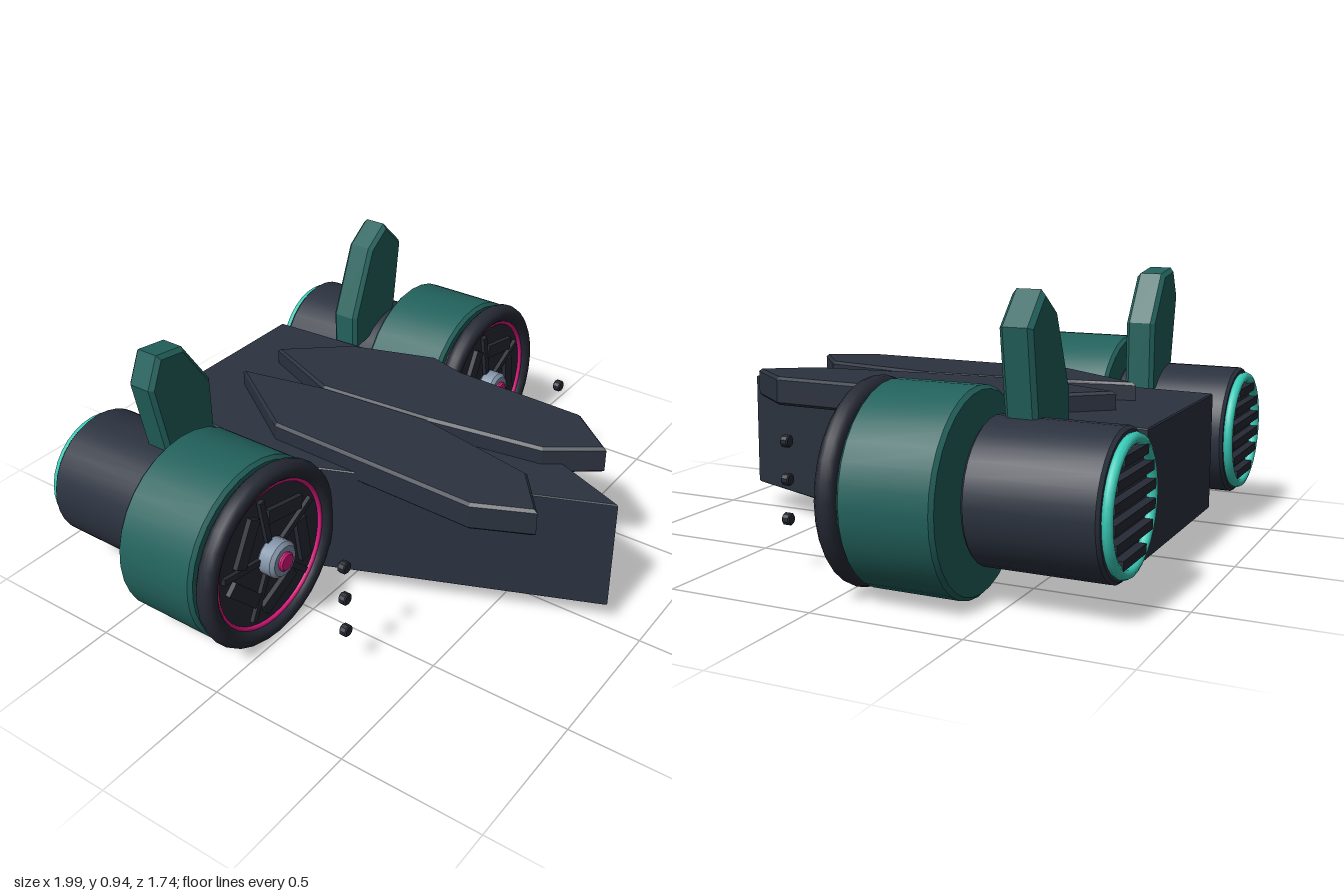
import * as THREE from 'three';
import { toCreasedNormals } from 'three/addons/utils/BufferGeometryUtils.js';

const material = (name, color) => {
  const m = new THREE.MeshStandardMaterial({ color });
  m.name = name;
  return m;
};

export function createModel() {
  const slate = material('slate hull', 0x2b323f);
  const charcoal = material('charcoal rubber', 0x262a35);
  const teal = material('teal shell', 0x22615c);
  const pink = material('pink glow', 0xd9187c);
  const steel = material('steel hub', 0x8394a8);
  const turquoise = material('turquoise glow', 0x38cbb7);

  const model = new THREE.Group();
  model.name = 'hovercraft';

  const add = (parent, name, geometry, mat, x = 0, y = 0, z = 0) => {
    const mesh = new THREE.Mesh(geometry, mat);
    mesh.name = name;
    mesh.position.set(x, y, z);
    parent.add(mesh);
    return mesh;
  };

  // Extrudes an outline with a small bevel that stays inside the outline
  const prism = (points, depth, bevel) => {
    const shape = new THREE.Shape(points.map(([x, y]) => new THREE.Vector2(x, y)));
    return new THREE.ExtrudeGeometry(shape, {
      depth: depth - 2 * bevel, bevelEnabled: true, bevelSegments: 1,
      bevelSize: bevel, bevelThickness: bevel, bevelOffset: -bevel,
    }).translate(0, 0, bevel);
  };

  // Same, with the outline given as x, z and the thickness going up
  const slab = (points, depth, bevel) =>
    prism(points.map(([x, z]) => [x, -z]), depth, bevel).rotateX(-Math.PI / 2);

  // Bevelled drum along z
  const drum = (r, z0, z1, bevel, sides = 32) => {
    const profile = [[0, z0], [r - bevel, z0], [r, z0 + bevel], [r, z1 - bevel], [r - bevel, z1], [0, z1]];
    const lathe = new THREE.LatheGeometry(profile.map(([x, y]) => new THREE.Vector2(x, y)), sides);
    return toCreasedNormals(lathe.rotateX(Math.PI / 2), 0.5);
  };

  // Wedge hull
  add(model, 'hull', slab([[-0.36, -0.81], [-0.405, -0.1], [0, 0.87], [0.405, -0.1], [0.36, -0.81]],
    0.415, 0.004), slate, 0, 0.098, 0);

  // Two long armour plates lying on the deck
  add(model, 'rightDeckPlate', slab([[-0.1, -0.615], [-0.325, -0.28], [-0.345, 0.52], [-0.255, 0.715],
    [-0.085, 0.58], [0.004, 0.13], [-0.03, -0.3]], 0.1, 0.01), slate, 0, 0.475, 0);
  add(model, 'leftDeckPlate', slab([[0.1, -0.615], [-0.03, -0.3], [0.004, 0.13], [0.065, 0.55], [0.19, 0.725],
    [0.335, 0.55], [0.35, 0.05], [0.388, -0.09], [0.285, -0.4]], 0.1, 0.01), slate, 0, 0.475, 0);

  // Each fin leans its own way
  const finOutlines = {
    right: [[-0.425, 0.48], [-0.425, 0.74], [-0.54, 0.912], [-0.655, 0.928], [-0.705, 0.82], [-0.65, 0.53]],
    left: [[0.385, 0.48], [0.385, 0.62], [0.495, 0.875], [0.595, 0.943], [0.697, 0.84], [0.645, 0.53]],
  };

  for (const [side, sign] of [['left', 1], ['right', -1]]) {
    const pod = new THREE.Group();
    pod.name = side + 'EnginePod';
    model.add(pod);

    const fan = new THREE.Group();
    fan.name = side + 'Fan';
    fan.position.set(sign * 0.667, 0.337, 0);
    pod.add(fan);

    // Housing, front rim and fan face
    add(fan, 'housing', drum(0.324, -0.4, -0.085, 0.012), teal);
    add(fan, 'frontRim', new THREE.TorusGeometry(0.296, 0.034, 12, 32), charcoal, 0, 0, -0.04);
    add(fan, 'fanFace', drum(0.29, -0.1, -0.035, 0.002), charcoal);
    add(fan, 'glowRing', new THREE.TorusGeometry(0.262, 0.009, 8, 40), pink, 0, 0, -0.032);

    // Slanted blades and thin spokes
    for (let i = 0; i < 5; i++) {
      const a = 3.61 + i * Math.PI * 2 / 5;
      const blade = add(fan, 'blade', new THREE.BoxGeometry(0.17, 0.05, 0.025), charcoal,
        Math.cos(a) * 0.16, Math.sin(a) * 0.16, -0.03);
      blade.rotation.z = a + 1.85;
      const b = a + Math.PI / 5;
      const spoke = add(fan, 'spoke', new THREE.BoxGeometry(0.19, 0.022, 0.02), charcoal,
        Math.cos(b) * 0.14, Math.sin(b) * 0.14, -0.03);
      spoke.rotation.z = b;
    }
    add(fan, 'hub', drum(0.066, -0.04, 0.03, 0.012, 16), steel);
    add(fan, 'hubCap', drum(0.034, 0.02, 0.042, 0.006, 16), pink);

    // Small studs hovering ahead of the fan
    for (const y of [0.435, 0.31, 0.18]) {
      add(pod, 'stud', drum(0.021, 0.267, 0.295, 0.004, 10), charcoal, sign * 0.68, y, 0);
    }

    // Rear thruster with a lit ring and a slatted grille
    const thruster = new THREE.Group();
    thruster.name = side + 'Thruster';
    thruster.position.set(sign * 0.628, 0.34, 0);
    pod.add(thruster);
    add(thruster, 'coupling', drum(0.17, -0.43, -0.39, 0.002), charcoal);
    add(thruster, 'nacelle', drum(0.23, -0.838, -0.418, 0.01), slate);
    add(thruster, 'exhaustRing', new THREE.TorusGeometry(0.196, 0.018, 8, 32), turquoise, 0, 0, -0.85);
    for (let i = -2.5; i <= 2.5; i++) {
      const y = i * 0.06;
      const width = 2 * Math.sqrt(0.182 ** 2 - y * y);
      add(thruster, 'grilleSlat', new THREE.BoxGeometry(width, 0.03, 0.035), charcoal, 0, y, -0.85);
    }

    // Upright fin
    add(pod, 'fin', prism(finOutlines[side], 0.106, 0.014), teal, 0, 0, -0.568);
  }

  return model;
}
